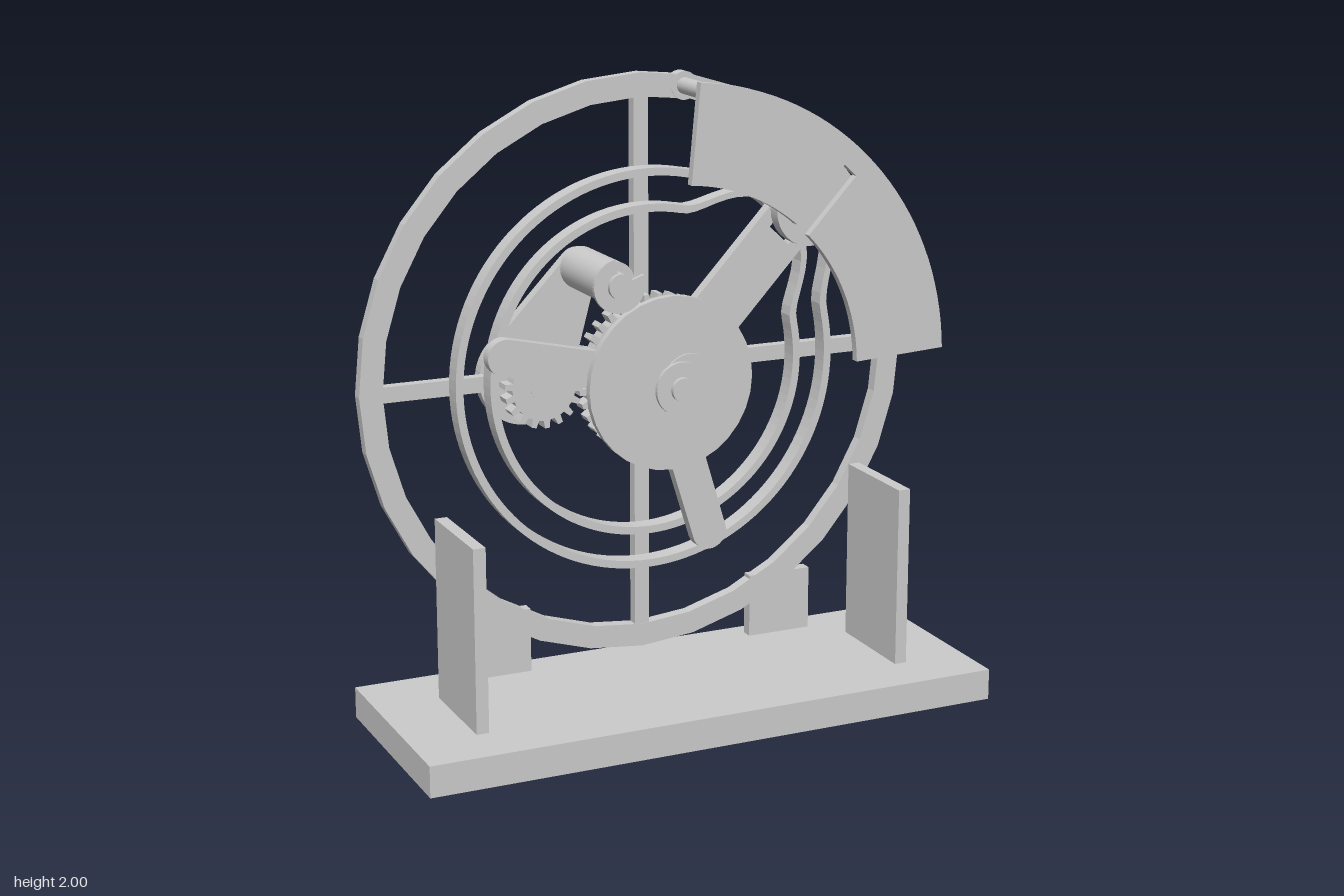
import * as THREE from 'three';

const CY = 1.063; // height of the main axle
const DEG = Math.PI / 180;
const material = new THREE.MeshStandardMaterial({ color: 0xcccccc, side: THREE.DoubleSide });

export function createModel() {
  const model = new THREE.Group();

  const add = (name, geometry) => {
    const mesh = new THREE.Mesh(geometry, material);
    mesh.name = name;
    model.add(mesh);
    return mesh;
  };
  const box = (name, x0, x1, y0, y1, z0, z1) =>
    add(name, new THREE.BoxGeometry(x1 - x0, y1 - y0, z1 - z0))
      .position.set((x0 + x1) / 2, (y0 + y1) / 2, (z0 + z1) / 2);
  // flat part lying in the xy plane between two depths, relative to the axle
  const plate = (name, shape, z0, z1, x = 0, y = 0, curveSegments = 16) => {
    const geometry = new THREE.ExtrudeGeometry(shape, { depth: z1 - z0, bevelEnabled: false, curveSegments });
    const mesh = add(name, geometry);
    mesh.position.set(x, CY + y, z0);
    return mesh;
  };
  // round part along z, relative to the axle
  const rod = (name, x, y, r, z0, z1) => {
    const geometry = new THREE.CylinderGeometry(r, r, z1 - z0, 32).rotateX(Math.PI / 2);
    add(name, geometry).position.set(x, CY + y, (z0 + z1) / 2);
  };
  const circle = (r, x = 0, y = 0, Kind = THREE.Shape) => new Kind().absarc(x, y, r, 0, Math.PI * 2, false);
  const polar = (r, a) => new THREE.Vector2(r * Math.cos(a), r * Math.sin(a));

  // outline wrapped around two circles
  const link = (x1, y1, r1, x2, y2, r2) => {
    const a = Math.atan2(y2 - y1, x2 - x1);
    const b = Math.acos((r1 - r2) / Math.hypot(x2 - x1, y2 - y1));
    const s = new THREE.Shape();
    s.absarc(x1, y1, r1, a + b, a + 2 * Math.PI - b, false);
    s.absarc(x2, y2, r2, a - b, a + b, false);
    s.closePath();
    return s;
  };

  const gear = (teeth, rIn, rOut, bore) => {
    const points = [];
    for (let i = 0; i < teeth; i++) {
      [[0, rIn], [0.4, rIn], [0.52, rOut], [0.88, rOut]].forEach(([t, r]) =>
        points.push(polar(r, (i + t) / teeth * Math.PI * 2)));
    }
    const s = new THREE.Shape(points);
    s.holes.push(circle(bore, 0, 0, THREE.Path));
    return s;
  };

  // open retaining clip
  const clip = (name, x, y, z, turn) => {
    const s = new THREE.Shape();
    s.absarc(0, 0, 0.085, 40 * DEG, 320 * DEG, false);
    s.absarc(0, 0, 0.035, 320 * DEG, 40 * DEG, true);
    s.closePath();
    plate(name, s, z, z + 0.014, x, y).rotation.z = turn;
  };

  // base, upright plates and wheel feet
  box('base', -0.95, 0.95, 0, 0.1, -0.3, 0.4);
  for (const s of [-1, 1]) {
    box('sidePlate', s * 0.72 - 0.02, s * 0.72 + 0.02, 0.1, 0.685, -0.105, 0.23);
    box('wheelFoot', s * 0.5 - 0.11, s * 0.5 + 0.11, 0.1, 0.31, -0.245, -0.205);
  }

  // faceted wheel with four pillar holes
  const pillars = [8, 32, 56.5, 80.5].map((d) => polar(0.9, d * DEG));
  const rim = circle(0.937);
  rim.holes.push(circle(0.862, 0, 0, THREE.Path));
  pillars.forEach((p) => rim.holes.push(circle(0.026, p.x, p.y, THREE.Path)));
  plate('wheelRim', rim, -0.245, -0.205);
  box('verticalSpoke', -0.025, 0.025, CY - 0.865, CY + 0.865, -0.244, -0.206);
  box('horizontalSpoke', -0.865, 0.865, CY - 0.025, CY + 0.025, -0.243, -0.207);

  // pillars and their bosses carry the front sector
  pillars.forEach((p) => {
    const boss = circle(0.045);
    boss.holes.push(circle(0.026, 0, 0, THREE.Path));
    plate('pillarBoss', boss, -0.246, -0.204, p.x, p.y);
    rod('pillar', p.x, p.y, 0.026, -0.205, 0.045);
  });

  // front sector with a radial slot
  const sector = new THREE.Shape();
  const mid = 47 * DEG, half = 0.028;
  sector.absarc(0, 0, 0.937, 2 * DEG, 85.5 * DEG, false);
  sector.absarc(0, 0, 0.625, 86 * DEG, mid + half / 0.625, true);
  for (const side of [1, -1]) {
    const p = polar(0.865, mid + side * half / 0.865);
    sector.lineTo(p.x, p.y);
  }
  sector.absarc(0, 0, 0.625, mid - half / 0.625, 1.5 * DEG, true);
  sector.closePath();
  plate('frontSector', sector, 0.045, 0.073);

  // cam track: two thin walls swelling toward the upper right
  const camOutline = (r, Kind) => {
    const points = [];
    for (let i = 0; i < 120; i++) {
      const a = i * 3;
      const off = Math.min(Math.abs(a - 45), 360 - Math.abs(a - 45));
      const bump = 0.135 * (1 - THREE.MathUtils.smoothstep(off, 8, 32));
      points.push(polar(r + bump, a * DEG));
    }
    return new Kind(points);
  };
  for (const [name, r] of [['innerCamWall', 0.535], ['outerCamWall', 0.648]]) {
    const wall = camOutline(r, THREE.Shape);
    wall.holes.push(camOutline(r - 0.025, THREE.Path));
    plate(name, wall, -0.205, -0.145);
  }

  // three-armed rotor: two round-ended arms and one slotted follower arm
  rod('rotorHub', 0, 0, 0.2, -0.07, -0.03);
  for (const d of [167, 287]) {
    const tip = polar(0.54, d * DEG);
    plate('rotorArm', link(0, 0, 0.06, tip.x, tip.y, 0.058), -0.07, -0.03);
  }
  const arm = new THREE.Shape([[0.1, -0.09], [0.86, -0.09], [0.86, 0.09], [0.1, 0.09]]
    .map((p) => new THREE.Vector2(...p)));
  arm.holes.push(new THREE.Path([[0.58, -0.045], [0.58, 0.045], [0.81, 0.045], [0.81, -0.045]]
    .map((p) => new THREE.Vector2(...p))));
  plate('followerArm', arm, -0.07, -0.03).rotation.z = mid;
  rod('frontDisc', 0, 0, 0.277, 0, 0.026);

  // follower running in the cam track
  const f = polar(0.7, mid);
  rod('followerDisc', f.x, f.y, 0.118, -0.02, 0.026);
  rod('followerPin', f.x, f.y, 0.04, -0.15, 0);
  rod('followerRoller', f.x, f.y, 0.05, -0.2, -0.11);

  // meshing gears
  plate('centreGear', gear(36, 0.235, 0.262, 0.04), -0.143, -0.092);
  plate('smallGear', gear(18, 0.105, 0.13, 0.04), -0.143, -0.092, -0.378, 0);

  // main axle
  rod('mainAxle', 0, 0, 0.038, -0.25, 0.117);
  rod('axleSleeve', 0, 0, 0.07, -0.1, 0);
  rod('axleCap', 0, 0, 0.088, -0.285, -0.245);
  rod('eccentricBoss', 0.06, 0, 0.092, 0.02, 0.034);
  clip('axleClip', 0, 0, 0.088, 0);

  // tapered rear link with gear shaft and handle
  plate('rearLink', link(-0.378, 0, 0.155, -0.19, 0.332, 0.06), -0.287, -0.247);
  rod('gearShaft', -0.378, 0, 0.045, -0.4, -0.09);
  rod('gearShaftCollar', -0.378, 0, 0.075, -0.305, -0.28);
  clip('gearShaftClip', -0.378, 0, -0.385, 90 * DEG);
  rod('handleSleeve', -0.19, 0.332, 0.068, -0.25, 0.02);
  rod('handlePin', -0.19, 0.332, 0.04, -0.25, 0.077);
  clip('handleClip', -0.19, 0.332, 0.048, 60 * DEG);

  return model;
}
